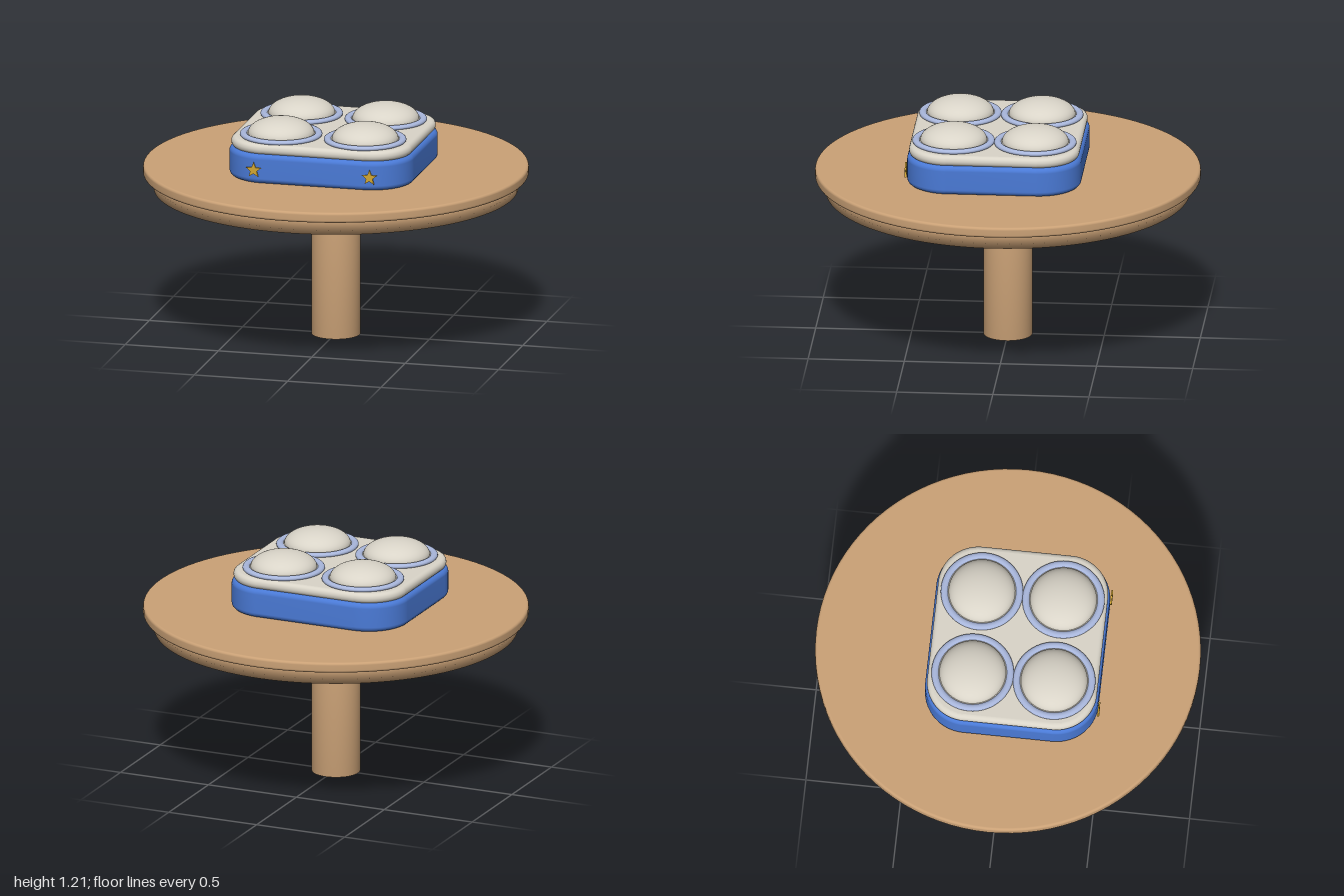
import * as THREE from 'three';
import { mergeVertices } from 'three/addons/utils/BufferGeometryUtils.js';

const material = (name, color) => {
  const m = new THREE.MeshStandardMaterial({ color });
  m.name = name;
  return m;
};

// Weld a geometry so its shading runs smoothly over every edge
function soften(geometry) {
  geometry.deleteAttribute('normal');
  geometry.deleteAttribute('uv');
  const welded = mergeVertices(geometry, 1e-4);
  welded.computeVertexNormals();
  return welded;
}

function roundedRect(hw, hd, r) {
  const s = new THREE.Shape();
  s.absarc(hw - r, hd - r, r, 0, Math.PI / 2);
  s.absarc(-hw + r, hd - r, r, Math.PI / 2, Math.PI);
  s.absarc(-hw + r, -hd + r, r, Math.PI, Math.PI * 1.5);
  s.absarc(hw - r, -hd + r, r, Math.PI * 1.5, Math.PI * 2);
  s.closePath();
  return s;
}

// Rounded slab lying flat, its bottom at y = 0
function slab(hw, hd, radius, height, bevel) {
  const g = new THREE.ExtrudeGeometry(roundedRect(hw - bevel, hd - bevel, radius - bevel), {
    depth: height - 2 * bevel, bevelThickness: bevel, bevelSize: bevel,
    bevelSegments: 5, curveSegments: 14,
  });
  g.rotateX(-Math.PI / 2);
  g.translate(0, bevel, 0);
  return soften(g);
}

function starShape(outer, inner) {
  const pts = [];
  for (let i = 0; i < 10; i++) {
    const r = i % 2 ? inner : outer;
    const a = Math.PI / 2 + i * Math.PI / 5;
    pts.push(new THREE.Vector2(r * Math.cos(a), r * Math.sin(a)));
  }
  return new THREE.Shape(pts);
}

export function createModel() {
  const wood = material('wood', 0xcaa176);
  const blue = material('blue', 0x4a7ad6);
  const cream = material('cream', 0xd9d4c8);
  const paleBlue = material('pale blue', 0xa9b7dc);
  const gold = material('gold', 0xd2a632);

  const model = new THREE.Group();
  model.name = 'tableWithCase';
  const add = (name, geometry, mat, x, y, z) => {
    const mesh = new THREE.Mesh(geometry, mat);
    mesh.name = name;
    mesh.position.set(x, y, z);
    model.add(mesh);
  };

  // Table: post, under-disc and round-edged top
  add('tableLeg', soften(new THREE.CylinderGeometry(0.127, 0.127, 0.8, 48)), wood, 0, 0.4, 0);
  add('tableApron', soften(new THREE.CylinderGeometry(0.945, 0.945, 0.08, 96)), wood, 0, 0.82, 0);
  const b = 0.014, low = 0.855, high = 0.91;
  const profile = [new THREE.Vector2(0, low)];
  for (let i = 0; i <= 4; i++) {
    const a = -Math.PI / 2 + i * Math.PI / 8;
    profile.push(new THREE.Vector2(1 - b + b * Math.cos(a), low + b + b * Math.sin(a)));
  }
  for (let i = 0; i <= 4; i++) {
    const a = i * Math.PI / 8;
    profile.push(new THREE.Vector2(1 - b + b * Math.cos(a), high - b + b * Math.sin(a)));
  }
  profile.push(new THREE.Vector2(0, high));
  add('tableTop', soften(new THREE.LatheGeometry(profile, 96)), wood, 0, 0, 0);

  // Case and lid
  add('caseBase', slab(0.49, 0.452, 0.22, 0.157, 0.028), blue, 0, 0.91, 0.05);
  add('caseLid', slab(0.48, 0.442, 0.21, 0.055, 0.025), cream, 0, 1.062, 0.05);

  // Four domes, each in a ring
  const ring = new THREE.TorusGeometry(0.195, 0.019, 14, 56);
  ring.rotateX(Math.PI / 2);
  ring.scale(1, 0.7, 1);
  const dome = new THREE.SphereGeometry(0.173, 48, 16, 0, Math.PI * 2, 0, Math.PI / 2);
  dome.scale(1, 0.082 / 0.173, 1);
  const skirt = new THREE.CylinderGeometry(0.178, 0.178, 0.02, 48);
  for (const x of [-0.225, 0.225]) {
    for (const z of [-0.16, 0.265]) {
      add('domeRing', ring, paleBlue, x, 1.125, z);
      add('domeSeat', skirt, cream, x, 1.119, z);
      add('dome', dome, cream, x, 1.128, z);
    }
  }

  // Stars on the front of the case
  const star = new THREE.ExtrudeGeometry(starShape(0.042, 0.018), { depth: 0.009, bevelEnabled: false });
  for (const x of [-0.31, 0.31]) add('star', star, gold, x, 0.984, 0.502);

  return model;
}
